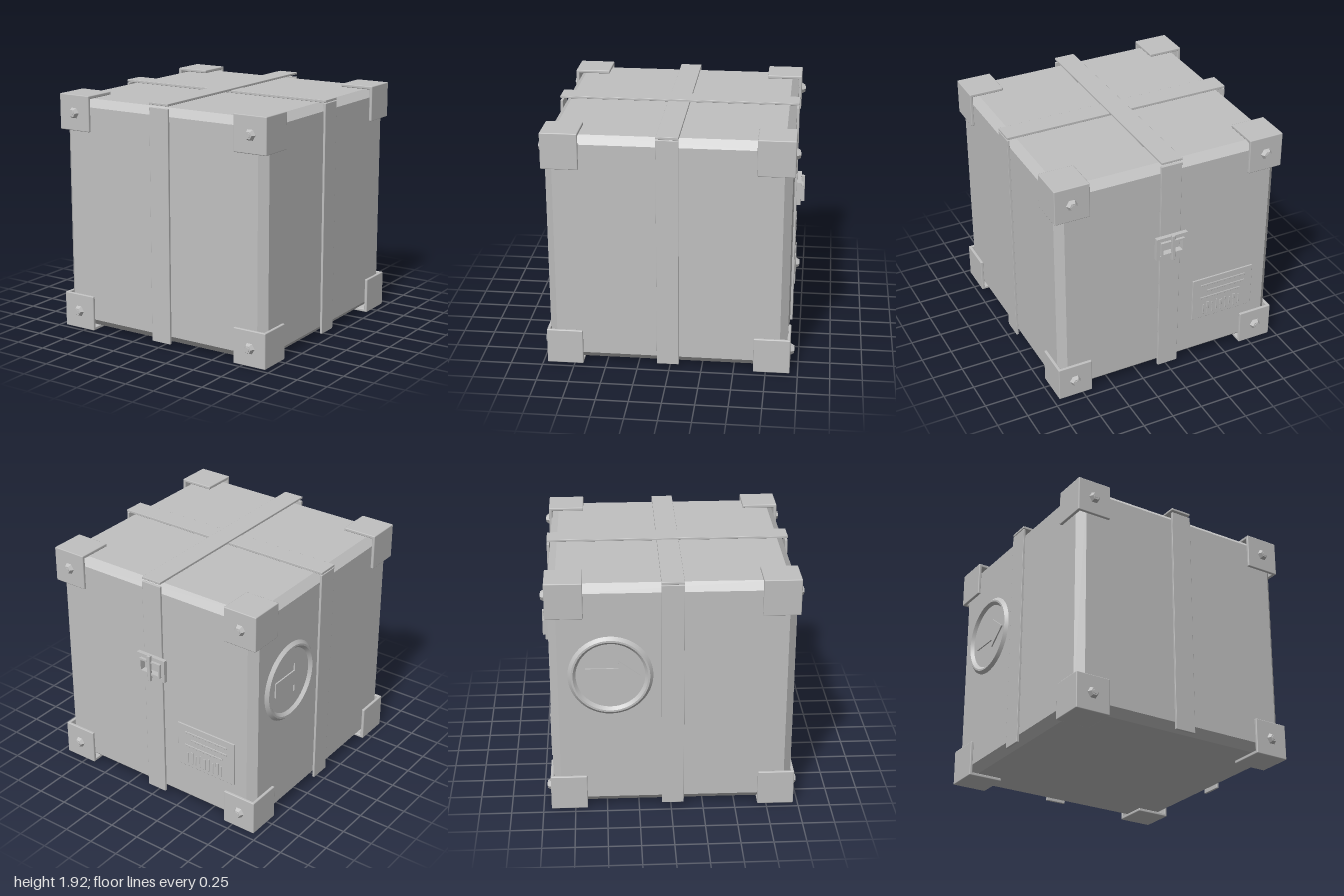
import * as THREE from 'three';
import { ConvexGeometry } from 'three/addons/geometries/ConvexGeometry.js';
import { RoundedBoxGeometry } from 'three/addons/geometries/RoundedBoxGeometry.js';

export function createModel() {
  const grey = new THREE.MeshStandardMaterial({ color: 0xc0c0c0 });
  grey.name = 'grey metal';
  const model = new THREE.Group();
  model.name = 'crate';

  const add = (name, geometry, x, y, z, parent = model) => {
    const mesh = new THREE.Mesh(geometry, grey);
    mesh.name = name;
    mesh.position.set(x, y, z);
    parent.add(mesh);
    return mesh;
  };
  const group = (name, x, y, z, turn) => {
    const g = new THREE.Group();
    g.name = name;
    g.position.set(x, y, z);
    g.rotation.y = turn;
    model.add(g);
    return g;
  };
  // box given by its lowest and highest corner
  const span = (name, x0, x1, y0, y1, z0, z1, parent) =>
    add(name, new RoundedBoxGeometry(x1 - x0, y1 - y0, z1 - z0, 1, 0.003),
      (x0 + x1) / 2, (y0 + y1) / 2, (z0 + z1) / 2, parent);
  // rectangular frame with a hole
  const frame = (w, h, t, depth) => {
    const rect = (a, b, Type) => new Type([
      new THREE.Vector2(-a, -b), new THREE.Vector2(a, -b),
      new THREE.Vector2(a, b), new THREE.Vector2(-a, b)]);
    const shape = rect(w / 2, h / 2, THREE.Shape);
    shape.holes.push(rect(w / 2 - t, h / 2 - t, THREE.Path));
    return new THREE.ExtrudeGeometry(shape, { depth, bevelEnabled: false });
  };

  const CY = 0.956, CZ = 0.014;
  const signs = [-1, 1];

  // Body: a box with every edge chamfered
  const half = [0.93, 0.926, 0.931], cut = 0.06;
  const points = [];
  for (const sx of signs) for (const sy of signs) for (const sz of signs) {
    for (let k = 0; k < 3; k++) {
      const c = half.map((h, i) => (i === k ? h : h - cut));
      points.push(new THREE.Vector3(sx * c[0], sy * c[1], sz * c[2]));
    }
  }
  add('body', new ConvexGeometry(points), 0, CY, CZ);

  // Corner caps: three plates each, with a hex bolt on the front or back plate
  const size = 0.285, thick = 0.026, out = [0.953, 0.956, 0.952];
  const boltGeometry = new THREE.CylinderGeometry(0.03, 0.047, 0.03, 6)
    .rotateY(Math.PI / 6).rotateX(Math.PI / 2).toNonIndexed();
  boltGeometry.computeVertexNormals();
  for (const sx of signs) for (const sy of signs) for (const sz of signs) {
    const cap = group('cornerCap', 0, CY, CZ, 0);
    const s = [sx, sy, sz];
    for (let k = 0; k < 3; k++) {
      const dim = [size, size, size];
      dim[k] = thick;
      const p = out.map((o, i) => s[i] * (o - dim[i] / 2));
      add('capPlate', new RoundedBoxGeometry(...dim, 1, 0.007), ...p, cap);
    }
    const bolt = add('bolt', boltGeometry, sx * 0.814, sy * 0.812, sz * (out[2] + 0.014), cap);
    if (sz < 0) bolt.rotation.y = Math.PI;
    const head = add('boltCentre', new THREE.CylinderGeometry(0.016, 0.018, 0.006, 12),
      sx * 0.814, sy * 0.812, sz * (out[2] + 0.029), cap);
    head.rotation.x = sz * Math.PI / 2;
  }

  // Straps: four uprights and two crossing over the lid
  const w = 0.086;
  span('frontStrap', -w, w, 0.03, 1.884, 0.943, 0.964);
  span('backStrap', -w, w, 0.03, 1.884, -0.936, -0.915);
  span('leftStrap', 0.928, 0.948, 0.03, 1.882, CZ - w, CZ + w);
  span('rightStrap', -0.948, -0.928, 0.03, 1.882, CZ - w, CZ + w);
  span('lidStrapAcross', -0.948, 0.948, 1.888, 1.908, CZ - w, CZ + w);
  span('lidStrapLengthwise', -w, w, 1.904, 1.922, -0.936, 0.964);

  // Buckle on the back strap
  const buckle = group('buckle', 0, 1.18, -0.936, Math.PI);
  add('buckleFrame', frame(0.266, 0.19, 0.03, 0.034), 0, 0, 0, buckle);
  add('buckleLip', frame(0.2, 0.12, 0.016, 0.05), 0, 0, 0, buckle);
  span('bucklePin', -0.014, 0.014, -0.11, 0.11, 0.036, 0.062, buckle);
  for (const s of signs) span('pinFoot', -0.014, 0.014, s * 0.08 - 0.012, s * 0.08 + 0.012, 0, 0.04, buckle);

  // Label plate on the back with ruled lines and bars
  const label = group('label', -0.49, 0.56, -0.916, Math.PI);
  span('labelPlate', -0.27, 0.27, -0.187, 0.187, -0.002, 0.012, label);
  [[-0.2, 0.2, 0.125], [-0.14, 0.2, 0.065], [-0.2, 0.16, 0.005]].forEach(([a, b, y]) =>
    span('labelLine', a, b, y - 0.008, y + 0.008, 0.011, 0.018, label));
  for (let i = 0; i < 9; i++) {
    const x = -0.17 + i * 0.04, wide = i % 3 === 1 ? 0.011 : 0.006;
    span('labelBar', x - wide, x + wide, -0.155, i % 2 ? -0.045 : -0.06, 0.011, 0.018, label);
  }

  // Round arrow sign on the right side
  const sign = group('arrowSign', -0.929, 1.15, -0.458, -Math.PI / 2);
  const profile = [[0.325, 0], [0.3, 0.026], [0.285, 0.026], [0.262, 0]];
  // each band is its own lathe so the bevels stay crisp
  for (let i = 0; i < profile.length - 1; i++) {
    const band = [profile[i], profile[i + 1]].map(([r, h]) => new THREE.Vector2(r, h));
    add('signRing', new THREE.LatheGeometry(band, 48), 0, 0, 0, sign).rotation.x = Math.PI / 2;
  }
  const arrow = new THREE.Shape([[-0.19, -0.062], [0.06, -0.062], [0.06, -0.125], [0.225, 0],
    [0.06, 0.125], [0.06, 0.062], [-0.19, 0.062]].map(([x, y]) => new THREE.Vector2(x, y)));
  add('arrow', new THREE.ExtrudeGeometry(arrow, { depth: 0.014, bevelEnabled: false }), 0, 0, -0.002, sign);

  return model;
}
